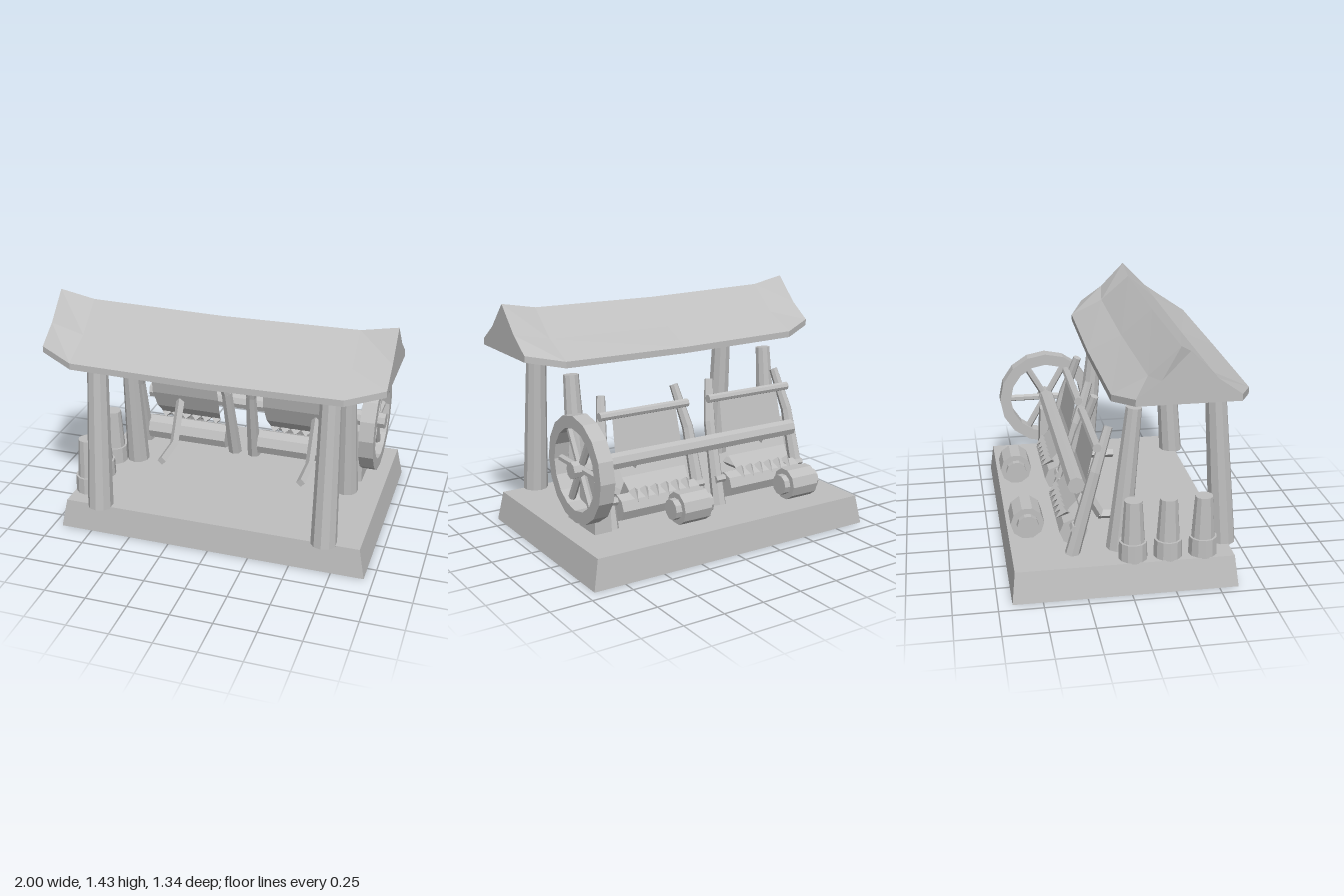
import * as THREE from 'three';

const stone = new THREE.MeshStandardMaterial({ color: 0xbfbfbf, flatShading: true, side: THREE.DoubleSide });
stone.name = 'lightGrey';

const V = (x, y, z) => new THREE.Vector3(x, y, z);

export function createModel() {
  const model = new THREE.Group();
  model.name = 'weavingShelter';

  const add = (name, geometry, parent = model) => {
    const mesh = new THREE.Mesh(geometry, stone);
    mesh.name = name;
    parent.add(mesh);
    return mesh;
  };

  // Tapered round bar between two points
  const bar = (name, a, b, ra, rb = ra, sides = 8, parent = model) => {
    const dir = b.clone().sub(a);
    const mesh = add(name, new THREE.CylinderGeometry(rb, ra, dir.length(), sides), parent);
    mesh.position.copy(a).add(b).multiplyScalar(0.5);
    mesh.quaternion.setFromUnitVectors(V(0, 1, 0), dir.normalize());
    return mesh;
  };

  // Surface from corner points and triangles
  const surface = (points, index) => {
    const g = new THREE.BufferGeometry();
    g.setAttribute('position', new THREE.Float32BufferAttribute(points.flat(), 3));
    g.setIndex(index);
    g.computeVertexNormals();
    return g;
  };

  // Box whose top is smaller than its foot
  const taperedBox = (w, h, d, topX, topZ) => {
    const g = new THREE.BoxGeometry(w, h, d);
    const p = g.attributes.position;
    for (let i = 0; i < p.count; i++) {
      if (p.getY(i) > 0) p.setXYZ(i, p.getX(i) * topX, h / 2, p.getZ(i) * topZ);
    }
    g.computeVertexNormals();
    return g;
  };

  // Base, hollow underneath
  const baseGeometry = taperedBox(1.89, 0.18, 1.28, 0.963, 0.969);
  const faces = Array.from(baseGeometry.index.array);
  faces.splice(18, 6);
  baseGeometry.setIndex(faces);
  baseGeometry.clearGroups();
  add('base', baseGeometry).position.set(0, 0.09, -0.03);

  // Roof: x, ridge y, mid y, mid half width, eave y, eave half width
  const sections = [
    [-1, 1.43, 1.275, 0.15, 1.18, 0.285],
    [-0.79, 1.39, 1.235, 0.18, 1.14, 0.38],
    [0, 1.378, 1.225, 0.185, 1.133, 0.388],
    [0.79, 1.39, 1.235, 0.18, 1.14, 0.38],
    [1, 1.43, 1.275, 0.15, 1.18, 0.285],
  ];
  const roofPoints = [];
  const roofIndex = [];
  for (const [x, ridge, midY, mid, eaveY, eave] of sections) {
    const ring = [[0, ridge], [mid, midY], [eave, eaveY], [eave, eaveY - 0.038],
      [-eave, eaveY - 0.038], [-eave, eaveY], [-mid, midY]];
    for (const [z, y] of ring) roofPoints.push([x, y, z + 0.28]);
  }
  for (let i = 0; i < 4; i++) {
    for (let j = 0; j < 7; j++) {
      const a = i * 7 + j, b = i * 7 + (j + 1) % 7;
      roofIndex.push(a, b, b + 7, a, b + 7, a + 7);
    }
  }
  for (const [a, b, c] of [[0, 1, 6], [1, 2, 5], [1, 5, 6], [2, 3, 4], [2, 4, 5]]) {
    roofIndex.push(28 + a, 28 + b, 28 + c, a, c, b);
  }
  add('roof', surface(roofPoints, roofIndex));

  // Shelter posts
  for (const s of [-1, 1]) {
    bar('frontPost', V(s * 0.695, 0.17, 0.57), V(s * 0.69, 1.12, 0.5), 0.077, 0.06, 10);
    bar('rearPost', V(s * 0.695, 0.175, -0.04), V(s * 0.69, 1.025, 0.045), 0.072, 0.046, 10);
  }

  // Row of lidded jars
  for (const z of [0.42, 0.22, 0.02]) {
    bar('jarFoot', V(-0.833, 0.175, z), V(-0.833, 0.285, z), 0.083, 0.08, 12);
    bar('jarBody', V(-0.833, 0.285, z), V(-0.833, 0.53, z), 0.067, 0.051, 12);
  }

  // Drive wheel
  const wheel = new THREE.Group();
  wheel.name = 'driveWheel';
  wheel.position.set(0.81, 0.567, -0.285);
  model.add(wheel);
  const rim = [[0.24, -0.045], [0.312, -0.045], [0.312, 0.045], [0.24, 0.045], [0.24, -0.045]];
  add('wheelRim', new THREE.LatheGeometry(rim.map(([x, y]) => new THREE.Vector2(x, y)), 16), wheel)
    .rotation.z = Math.PI / 2;
  for (let i = 0; i < 6; i++) {
    const a = i * Math.PI / 3;
    bar('wheelSpoke', V(0, 0, 0), V(0, Math.sin(a) * 0.25, Math.cos(a) * 0.25), 0.022, 0.022, 6, wheel);
  }
  bar('wheelHub', V(-0.05, 0, 0), V(0.065, 0, 0), 0.05, 0.05, 8, wheel);

  // Long axle and its pedestal
  bar('axle', V(-0.68, 0.57, -0.275), V(0.78, 0.57, -0.28), 0.05);
  add('axlePedestal', taperedBox(0.11, 0.35, 0.19, 0.85, 0.85)).position.set(0.71, 0.35, -0.255);

  // Two matching loom frames
  for (const [cx, pedalX, drumX] of [[-0.425, -0.47, -0.515], [0.325, 0.44, 0.255]]) {
    const loom = new THREE.Group();
    loom.name = 'loom';
    loom.position.x = cx;
    model.add(loom);

    // Bent legs leaning forward
    for (const s of [-1, 1]) {
      bar('legLower', V(s * 0.31, 0.175, -0.31), V(s * 0.295, 0.67, -0.175), 0.044, 0.034, 7, loom);
      bar('legUpper', V(s * 0.295, 0.66, -0.178), V(s * 0.248, 0.91, -0.095), 0.034, 0.026, 7, loom);
    }

    // Cross bars
    bar('topBar', V(-0.3, 0.807, -0.165), V(0.3, 0.807, -0.165), 0.026, 0.026, 8, loom);
    bar('lowerRoller', V(-0.265, 0.29, -0.295), V(0.265, 0.29, -0.295), 0.08, 0.08, 8, loom);
    bar('rollerPin', V(-0.33, 0.335, -0.295), V(0.33, 0.335, -0.295), 0.025, 0.025, 6, loom);

    // Sloped cloth with a pointed hem
    const rows = [[0.215, 0.81, -0.165], [0.225, 0.58, -0.215], [0.215, 0.46, -0.27], [0.2, 0.385, -0.335]];
    const clothPoints = rows.flatMap(([w, y, z]) => [[-w, y, z], [w, y, z]]);
    const clothIndex = [];
    for (let i = 0; i < 6; i += 2) clothIndex.push(i, i + 2, i + 3, i, i + 3, i + 1);
    add('cloth', surface(clothPoints, clothIndex), loom);
    for (let i = 0; i < 6; i++) {
      const x = -0.175 + i * 0.07;
      bar('hemPoint', V(x, 0.39, -0.325), V(x, 0.34, -0.385), 0.032, 0.001, 4, loom);
    }

    // Bent foot pedal
    const px = pedalX - cx;
    bar('pedalFoot', V(px, 0.272, 0.12), V(px, 0.28, -0.12), 0.028, 0.028, 4, loom);
    bar('pedalArm', V(px, 0.275, -0.105), V(px, 0.55, -0.255), 0.028, 0.028, 4, loom);

    // Loose drum behind the loom
    const dx = drumX - cx;
    bar('drum', V(dx - 0.09, 0.32, -0.548), V(dx + 0.09, 0.32, -0.548), 0.096, 0.096, 10, loom);
    bar('drumHub', V(dx - 0.128, 0.32, -0.548), V(dx + 0.128, 0.32, -0.548), 0.062, 0.062, 10, loom);
  }

  return model;
}
